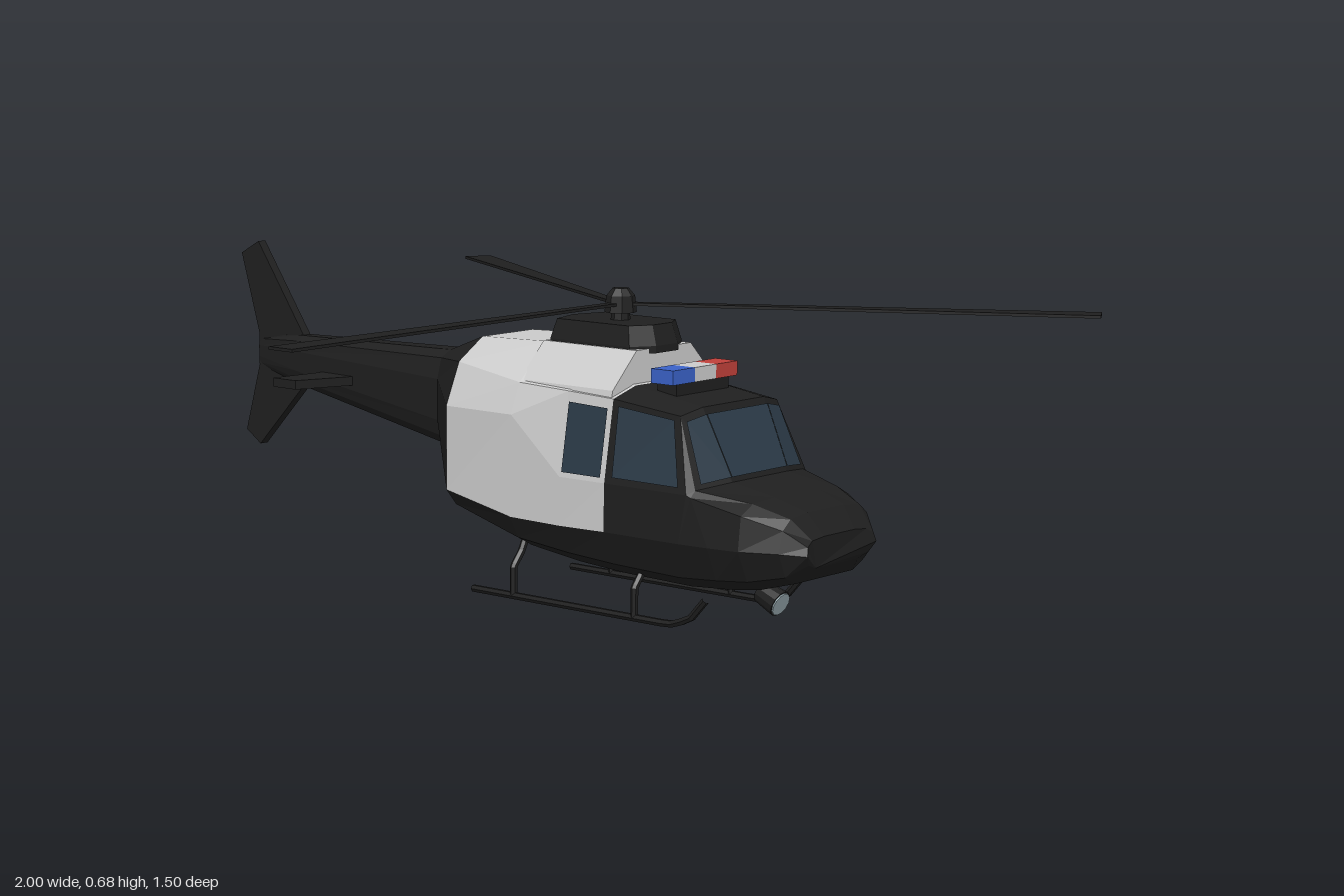
import * as THREE from 'three';

const paint = (color) => new THREE.MeshStandardMaterial({ color, flatShading: true });
const black = paint(0x1f1f1f), grey = paint(0xcccccc), glass = paint(0x2b3a47);
const red = paint(0xc0403a), blue = paint(0x3a62c8), lens = paint(0x9fb2b8);
const V = (x, y, z) => new THREE.Vector3(x, y, z);

function mesh(name, geometry, material, parent) {
  const m = new THREE.Mesh(geometry, material);
  m.name = name;
  parent.add(m);
  return m;
}

function fromPoints(points) {
  const g = new THREE.BufferGeometry().setFromPoints(points);
  g.computeVertexNormals();
  return g;
}

// Closed skin over rings of points; pick(i, j) names the part each quad belongs to
function skin(rings, pick, parts, parent) {
  const tris = [], n = rings[0].length;
  const add = (key, a, b, c) => tris.push([key, a, b, c]);
  for (let i = 0; i < rings.length - 1; i++) for (let j = 0; j < n; j++) {
    const k = (j + 1) % n, key = pick(i, j);
    add(key, rings[i][j], rings[i + 1][j], rings[i + 1][k]);
    add(key, rings[i][j], rings[i + 1][k], rings[i][k]);
  }
  const last = rings[rings.length - 1];
  for (let j = 1; j < n - 1; j++) {
    add(pick(0, -1), rings[0][0], rings[0][j], rings[0][j + 1]);
    add(pick(rings.length - 2, -1), last[0], last[j + 1], last[j]);
  }
  // Turn the faces outward
  const o = rings[0][0];
  const volume = tris.reduce((s, [, a, b, c]) =>
    s + a.clone().sub(o).dot(b.clone().sub(o).cross(c.clone().sub(o))), 0);
  for (const [name, material] of Object.entries(parts)) {
    const pts = tris.filter((t) => t[0] === name)
      .flatMap(([, a, b, c]) => (volume > 0 ? [a, b, c] : [a, c, b]));
    mesh(name, fromPoints(pts), material, parent);
  }
}

// Cross-section: six [halfWidth, height] pairs from keel to roof, mirrored; dx slants it
function station(x, pairs, dx = [0, 0, 0, 0, 0, 0]) {
  const half = pairs.map(([z, y], i) => V(x + dx[i], y, z));
  return [...half, ...half.slice().reverse().map((p) => V(p.x, p.y, -p.z))];
}

// Window lying just above one quad of the skin
function pane(name, rings, i, j, [u0, u1], [v0, v1], parent) {
  const a = rings[i][j], b = rings[i + 1][j], c = rings[i + 1][j + 1], d = rings[i][j + 1];
  const at = (u, v) => a.clone().lerp(b, v).lerp(d.clone().lerp(c, v), u);
  const p = [at(u0, v0), at(u0, v1), at(u1, v1), at(u1, v0)];
  const normal = p[2].clone().sub(p[0]).cross(p[3].clone().sub(p[1])).normalize();
  const flip = normal.dot(p[0].clone().sub(V(0.2, 0.25, 0))) < 0;
  if (flip) normal.negate();
  p.forEach((q) => q.addScaledVector(normal, 0.004));
  const order = flip ? [0, 2, 1, 0, 3, 2] : [0, 1, 2, 0, 2, 3];
  mesh(name, fromPoints(order.map((k) => p[k])), glass, parent);
}

// Flat plate from an outline, centred on its thickness
function plate(points, depth) {
  const shape = new THREE.Shape(points.map(([x, y]) => new THREE.Vector2(x, y)));
  return new THREE.ExtrudeGeometry(shape, { depth, bevelEnabled: false }).translate(0, 0, -depth / 2);
}

export function createModel() {
  const model = new THREE.Group();
  model.name = 'helicopter';
  const craft = new THREE.Group();
  craft.name = 'craft';
  craft.position.z = -0.235;
  model.add(craft);

  // Fuselage, from the tail boom to the nose
  const tail = [
    station(-0.945, [[0.005, 0.395], [0.01, 0.405], [0.012, 0.42], [0.012, 0.445], [0.01, 0.46], [0.005, 0.47]]),
    station(-0.8, [[0.015, 0.365], [0.028, 0.38], [0.034, 0.4], [0.034, 0.445], [0.028, 0.468], [0.015, 0.48]]),
    station(-0.33, [[0.03, 0.28], [0.058, 0.305], [0.068, 0.34], [0.068, 0.43], [0.055, 0.475], [0.025, 0.49]]),
  ];
  const cabin = [
    station(-0.185, [[0.11, 0.165], [0.165, 0.185], [0.195, 0.22], [0.195, 0.4], [0.155, 0.49], [0.08, 0.537]]),
    station(0, [[0.13, 0.115], [0.175, 0.138], [0.2, 0.185], [0.197, 0.4], [0.17, 0.465], [0.085, 0.543]]),
    station(0.135, [[0.13, 0.098], [0.172, 0.123], [0.2, 0.183], [0.199, 0.285], [0.17, 0.46], [0.095, 0.5]]),
    station(0.255, [[0.13, 0.09], [0.17, 0.115], [0.2, 0.185], [0.198, 0.285], [0.17, 0.455], [0.1, 0.475]]),
    station(0.43, [[0.13, 0.086], [0.17, 0.11], [0.2, 0.185], [0.195, 0.285], [0.158, 0.435], [0.1, 0.448]],
      [0, 0, 0.02, 0.035, -0.01, 0]),
  ];
  const nose = [
    station(0.52, [[0.12, 0.09], [0.165, 0.115], [0.195, 0.185], [0.193, 0.28], [0.178, 0.293], [0.09, 0.302]],
      [0, 0, 0, -0.045, -0.045, -0.02]),
    station(0.59, [[0.115, 0.098], [0.155, 0.12], [0.186, 0.185], [0.178, 0.255], [0.14, 0.275], [0.07, 0.28]]),
    station(0.665, [[0.095, 0.118], [0.13, 0.135], [0.152, 0.185], [0.14, 0.23], [0.115, 0.25], [0.06, 0.257]]),
    station(0.7, [[0.07, 0.15], [0.1, 0.16], [0.115, 0.18], [0.11, 0.198], [0.09, 0.208], [0.05, 0.212]],
      [-0.005, 0, 0.008, 0.004, 0, 0]),
  ];
  const rings = [...tail, ...cabin, ...nose];
  skin(rings, (i, j) => (i >= 3 && i <= 5 && j >= 2 && j <= 8 ? 'cabinPanels' : 'fuselage'),
    { fuselage: black, cabinPanels: grey }, craft);

  // Windows: door, cockpit side and the three-part windscreen
  for (const right of [false, true]) {
    const range = ([a, b]) => (right ? [1 - b, 1 - a] : [a, b]);
    const strip = (j) => (right ? 10 - j : j);
    pane('doorWindow', rings, 5, strip(3), range([0.06, 0.88]), [0.06, 0.92], craft);
    pane('cockpitSideWindow', rings, 6, strip(3), range([0.08, 0.93]), [0.1, 0.92], craft);
    pane('windscreenSide', rings, 7, strip(4), range([0.15, 1]), [0.1, 0.94], craft);
  }
  pane('windscreenCentre', rings, 7, 5, [0, 1], [0.1, 0.94], craft);

  // Engine housing and its tapered cowl
  const housing = (x) => [V(x, 0.45, 0.168), V(x, 0.47, 0.163), V(x, 0.545, 0.088),
    V(x, 0.545, -0.088), V(x, 0.47, -0.163), V(x, 0.45, -0.168)];
  skin([housing(-0.005), housing(0.247)], () => 'engineHousing', { engineHousing: grey }, craft);
  const outline = [[-0.14, 0], [-0.115, 0.085], [0.1, 0.085], [0.13, 0.035],
    [0.13, -0.035], [0.1, -0.085], [-0.115, -0.085]];
  const cowl = (y, s) => outline.map(([x, z]) => V(0.125 + x * s, y, z * s));
  skin([cowl(0.535, 1), cowl(0.55, 1), cowl(0.592, 0.9)], () => 'engineCowl', { engineCowl: black }, craft);

  // Main rotor: mast, hub and three widening blades
  mesh('rotorMast', new THREE.CylinderGeometry(0.018, 0.022, 0.04, 8), black, craft).position.set(0.13, 0.6, 0);
  mesh('rotorHub', new THREE.CylinderGeometry(0.03, 0.034, 0.035, 8), black, craft).position.set(0.13, 0.625, 0);
  mesh('rotorCap', new THREE.CylinderGeometry(0.017, 0.03, 0.016, 8), black, craft).position.set(0.13, 0.65, 0);
  for (let i = 0; i < 3; i++) {
    const blade = plate([[0, -0.011], [0.985, -0.031], [0.985, 0.031], [0, 0.011]], 0.006).rotateX(Math.PI / 2);
    const m = mesh('rotorBlade', blade, black, craft);
    m.position.set(0.13, 0.625, 0);
    m.rotation.y = -Math.PI / 2 + i * Math.PI * 2 / 3;
  }

  // Tail fin and stabilizer
  mesh('tailFin', plate([[-0.8, 0.48], [-0.945, 0.685], [-1, 0.655], [-0.945, 0.475],
    [-0.945, 0.4], [-0.99, 0.245], [-0.945, 0.215], [-0.8, 0.365]], 0.022), black, craft);
  mesh('stabilizer', plate([[-0.725, 0.18], [-0.655, 0.18], [-0.605, 0.04], [-0.605, -0.04],
    [-0.655, -0.18], [-0.725, -0.18], [-0.705, 0]], 0.02).rotateX(Math.PI / 2).translate(0, 0.397, 0), black, craft);

  // Landing skids with bent struts
  const tube = (name, points, radius) => {
    const path = new THREE.CurvePath();
    points.slice(1).forEach((p, i) => path.add(new THREE.LineCurve3(points[i], p)));
    mesh(name, new THREE.TubeGeometry(path, 24, radius, 6), black, craft);
  };
  for (const s of [1, -1]) {
    tube('skid', [V(-0.14, 0.008, s * 0.16), V(0.4, 0.008, s * 0.16), V(0.45, 0.025, s * 0.16),
      V(0.49, 0.07, s * 0.16)], 0.008);
    for (const x of [-0.025, 0.305])
      tube('skidStrut', [V(x, 0.008, s * 0.16), V(x, 0.07, s * 0.16), V(x, 0.1, s * 0.135), V(x, 0.13, s * 0.12)], 0.008);
  }

  // Roof light bar
  mesh('lightBarBase', new THREE.BoxGeometry(0.05, 0.03, 0.17), black, craft).position.set(0.325, 0.475, 0);
  [[-0.07, red], [0, grey], [0.07, blue]].forEach(([z, material]) => {
    mesh('lightBarLamp', new THREE.BoxGeometry(0.058, 0.03, 0.07), material, craft).position.set(0.328, 0.5, z);
  });

  // Searchlight under the nose
  const lamp = new THREE.Group();
  lamp.name = 'searchlight';
  lamp.position.set(0.57, 0.07, 0.05);
  lamp.rotation.z = -Math.PI / 2 - 0.4;
  craft.add(lamp);
  mesh('searchlightBody', new THREE.CylinderGeometry(0.028, 0.024, 0.05, 12), black, lamp);
  mesh('searchlightLens', new THREE.CylinderGeometry(0.025, 0.025, 0.006, 12), lens, lamp).position.y = 0.025;
  mesh('searchlightMount', new THREE.BoxGeometry(0.025, 0.05, 0.025), black, craft).position.set(0.56, 0.09, 0.05);

  return model;
}
